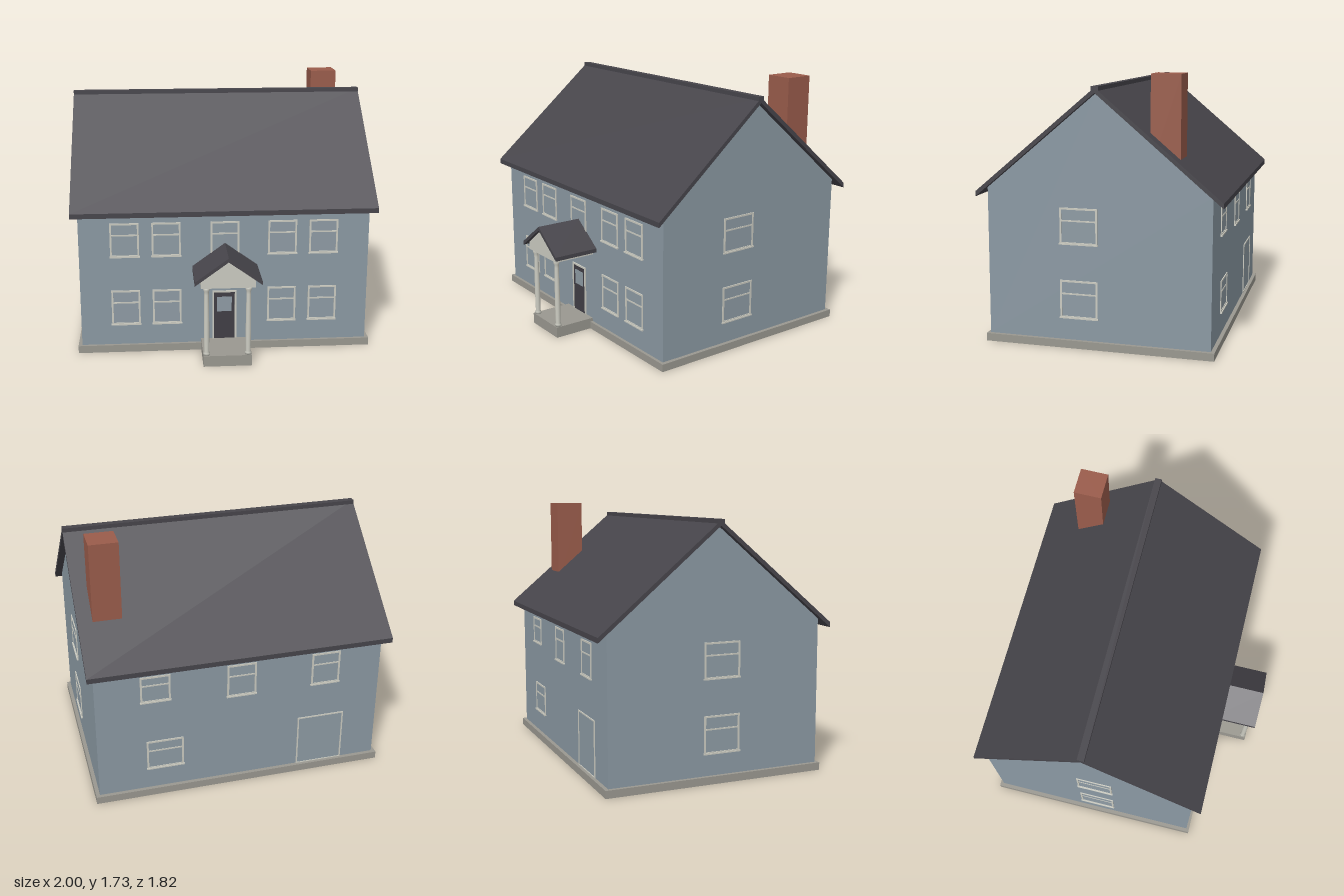
import * as THREE from 'three';

const material = (name, color) => {
  const m = new THREE.MeshStandardMaterial({ color });
  m.name = name;
  return m;
};

export function createModel() {
  const siding = material('siding', 0x8b99a3);
  const glass = material('glass', 0x8e9ba4);
  const roofing = material('roofing', 0x47454b);
  const brick = material('brick', 0x9a5c4b);
  const trim = material('trim', 0xcbcbc1);
  const stone = material('stone', 0x9a9890);
  const doorPaint = material('doorPaint', 0x403e45);

  const house = new THREE.Group();
  house.name = 'house';

  const add = (parent, name, geometry, mat) => {
    const mesh = new THREE.Mesh(geometry, mat);
    mesh.name = name;
    parent.add(mesh);
    return mesh;
  };
  // Box given by its limits on each axis
  const box = (parent, name, mat, x0, x1, y0, y1, z0, z1) => {
    const mesh = add(parent, name, new THREE.BoxGeometry(x1 - x0, y1 - y0, z1 - z0), mat);
    mesh.position.set((x0 + x1) / 2, (y0 + y1) / 2, (z0 + z1) / 2);
    return mesh;
  };
  // Straight extrusion of an outline
  const prism = (points, depth) => new THREE.ExtrudeGeometry(
    new THREE.Shape(points.map(([x, y]) => new THREE.Vector2(x, y))),
    { depth, bevelEnabled: false });
  // Chevron outline of a pitched roof, centred on its ridge
  const chevron = (c, left, right, ridge, slope, thick) => [
    [c - left, ridge - thick - left * slope], [c, ridge - thick],
    [c + right, ridge - thick - right * slope], [c + right, ridge - right * slope],
    [c, ridge], [c - left, ridge - left * slope],
  ];

  // Foundation and gabled walls
  box(house, 'foundation', stone, -0.98, 0.98, 0, 0.05, -0.865, 0.62);
  const walls = add(house, 'walls', prism(
    [[-0.6, 0.05], [0.84, 0.05], [0.84, 1.005], [0.12, 1.615], [-0.6, 1.005]], 1.91), siding);
  walls.rotation.y = Math.PI / 2;
  walls.position.x = -0.955;

  // Main roof, ridge cap and chimney
  const roof = add(house, 'roof', prism(chevron(0.12, 0.785, 0.79, 1.643, 0.843, 0.033), 2), roofing);
  roof.rotation.y = Math.PI / 2;
  roof.position.x = -1;
  box(house, 'ridgeCap', roofing, -1, 1, 1.61, 1.65, -0.143, -0.098);
  box(house, 'chimney', brick, 0.72, 0.905, 1.15, 1.725, -0.63, -0.443);

  // Frame of two posts and a head, facing +z with its base at y = 0
  const frame = (group, w, h, t, d) => {
    box(group, 'leftJamb', trim, w / 2 - t, w / 2, 0, h, 0, d);
    box(group, 'rightJamb', trim, -w / 2, -w / 2 + t, 0, h, 0, d);
    box(group, 'head', trim, -w / 2 + t, w / 2 - t, h - t, h, 0, d);
  };
  const openingAt = (name, x, y, z, turn) => {
    const group = new THREE.Group();
    group.name = name;
    group.position.set(x, y, z);
    group.rotation.y = turn;
    house.add(group);
    return group;
  };
  // Sash window with meeting rail and sill
  const addWindow = (name, x, y, z, turn, w, h) => {
    const group = openingAt(name, x, y, z, turn);
    const t = 0.012;
    frame(group, w, h, t, 0.006);
    box(group, 'glass', glass, -w / 2 + t, w / 2 - t, t, h - t, 0, 0.002);
    box(group, 'meetingRail', trim, -w / 2 + t, w / 2 - t, h * 0.62, h * 0.62 + 0.01, 0, 0.005);
    box(group, 'bottomRail', trim, -w / 2 + t, w / 2 - t, 0, t, 0, 0.006);
    box(group, 'sill', trim, -w / 2 - 0.004, w / 2 + 0.004, -0.004, 0.005, 0, 0.012);
  };

  // Front windows
  for (const x of [-0.657, -0.385, 0, 0.38, 0.653]) {
    addWindow('frontUpperWindow', x, 0.665, 0.6, 0, 0.19, 0.23);
    if (x !== 0) addWindow('frontLowerWindow', x, 0.192, 0.6, 0, 0.19, 0.24);
  }
  // Side windows
  for (const [side, z] of [[1, 0], [-1, -0.085]]) {
    addWindow('sideUpperWindow', side * 0.955, 0.667, z, side * Math.PI / 2, 0.245, 0.23);
    addWindow('sideLowerWindow', side * 0.955, 0.192, z, side * Math.PI / 2, 0.245, 0.243);
  }
  // Back windows
  addWindow('backUpperWindow', 0.567, 0.71, -0.84, Math.PI, 0.195, 0.185);
  addWindow('backUpperWindow', 0, 0.665, -0.84, Math.PI, 0.195, 0.23);
  addWindow('backUpperWindow', -0.573, 0.665, -0.84, Math.PI, 0.195, 0.23);
  addWindow('backLowerWindow', 0.512, 0.2, -0.84, Math.PI, 0.245, 0.21);

  // Back door
  const backDoor = openingAt('backDoor', -0.558, 0.05, -0.84, Math.PI);
  frame(backDoor, 0.323, 0.367, 0.009, 0.006);
  box(backDoor, 'panel', glass, -0.152, 0.152, 0.006, 0.358, 0, 0.002);
  box(backDoor, 'threshold', trim, -0.152, 0.152, 0, 0.006, 0, 0.006);

  // Front door with its small pane
  const frontDoor = openingAt('frontDoor', -0.003, 0.072, 0.6, 0);
  frame(frontDoor, 0.162, 0.342, 0.012, 0.008);
  box(frontDoor, 'panel', doorPaint, -0.069, 0.069, 0, 0.33, 0, 0.004);
  box(frontDoor, 'pane', glass, -0.049, 0.049, 0.195, 0.298, 0.004, 0.006);

  // Porch: slab, beam, pediment and roof
  const porch = new THREE.Group();
  porch.name = 'porch';
  house.add(porch);
  box(porch, 'slab', stone, -0.16, 0.155, 0, 0.073, 0.59, 0.885);
  box(porch, 'beam', trim, -0.175, 0.175, 0.54, 0.578, 0.6, 0.89);
  add(porch, 'pediment', prism([[-0.175, 0.578], [0.175, 0.578], [0.175, 0.592], [0, 0.722], [-0.175, 0.592]], 0.29), trim)
    .position.z = 0.6;
  add(porch, 'porchRoof', prism(chevron(0, 0.215, 0.215, 0.747, 0.725, 0.026), 0.314), roofing)
    .position.z = 0.6;

  // Turned columns with base and capital
  const profile = [[0, 0.073], [0.021, 0.073], [0.021, 0.088], [0.016, 0.096], [0.018, 0.25],
    [0.0145, 0.49], [0.015, 0.51], [0.021, 0.522], [0.021, 0.54], [0, 0.54]]
    .map(([r, y]) => new THREE.Vector2(r, y));
  for (const x of [-0.138, 0.132]) {
    add(porch, 'column', new THREE.LatheGeometry(profile, 20), trim).position.set(x, 0, 0.861);
  }

  return house;
}
